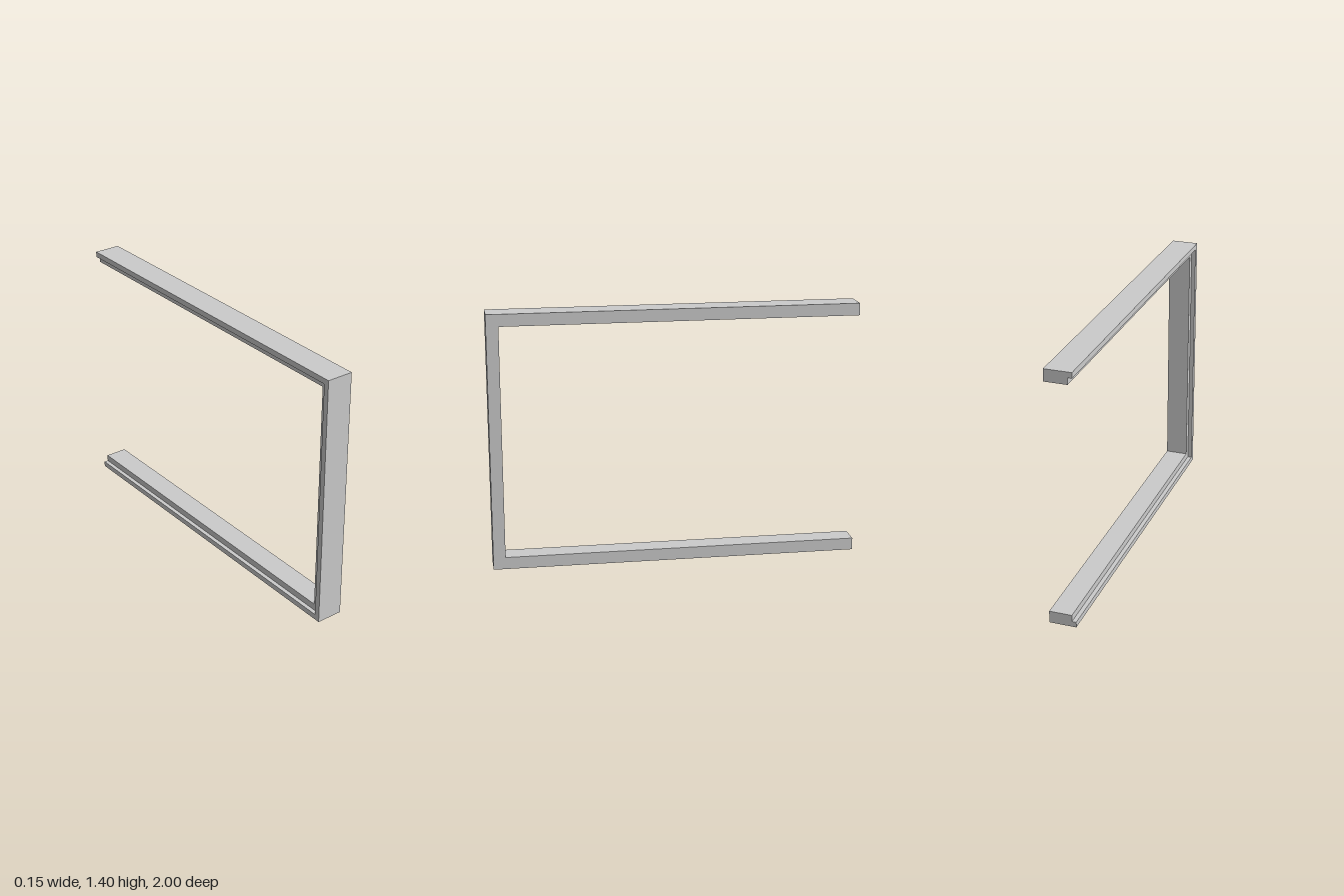
import * as THREE from 'three';

const HALF_WIDTH = 0.073, THICKNESS = 0.066, HEIGHT = 1.4;
const REBATE = 0.023, LIP = 0.03;

// L-shaped rail section: x across the rail, y is the inset from the outer edge
const section = [
  [-HALF_WIDTH, 0], [HALF_WIDTH, 0], [HALF_WIDTH, THICKNESS],
  [-HALF_WIDTH + REBATE, THICKNESS], [-HALF_WIDTH + REBATE, LIP], [-HALF_WIDTH, LIP],
].map(([x, y]) => new THREE.Vector2(x, y));

// Stations along the C: bottom end, two mitred corners, top end
const stations = [
  (p) => [p.x, p.y, -1],
  (p) => [p.x, p.y, 1 - p.y],
  (p) => [p.x, HEIGHT - p.y, 1 - p.y],
  (p) => [p.x, HEIGHT - p.y, -1],
];

function sweepSection() {
  const positions = [];
  const triangle = (a, b, c) => positions.push(...a, ...b, ...c);

  // Long faces of the three rails
  for (let k = 0; k < stations.length - 1; k++) {
    section.forEach((p, j) => {
      const q = section[(j + 1) % section.length];
      const a = stations[k](p), b = stations[k](q);
      const c = stations[k + 1](q), d = stations[k + 1](p);
      triangle(a, b, c);
      triangle(a, c, d);
    });
  }

  // Square-cut rail ends
  const first = stations[0], last = stations[stations.length - 1];
  for (const [i, j, k] of THREE.ShapeUtils.triangulateShape(section, [])) {
    triangle(first(section[i]), first(section[k]), first(section[j]));
    triangle(last(section[i]), last(section[j]), last(section[k]));
  }

  const geometry = new THREE.BufferGeometry();
  geometry.setAttribute('position', new THREE.Float32BufferAttribute(positions, 3));
  geometry.computeVertexNormals();
  return geometry;
}

export function createModel() {
  const group = new THREE.Group();
  group.name = 'openFrame';
  const frame = new THREE.Mesh(
    sweepSection(),
    new THREE.MeshStandardMaterial({ color: 0xcccccc, flatShading: true }),
  );
  frame.name = 'rebatedFrameRails';
  group.add(frame);
  return group;
}
